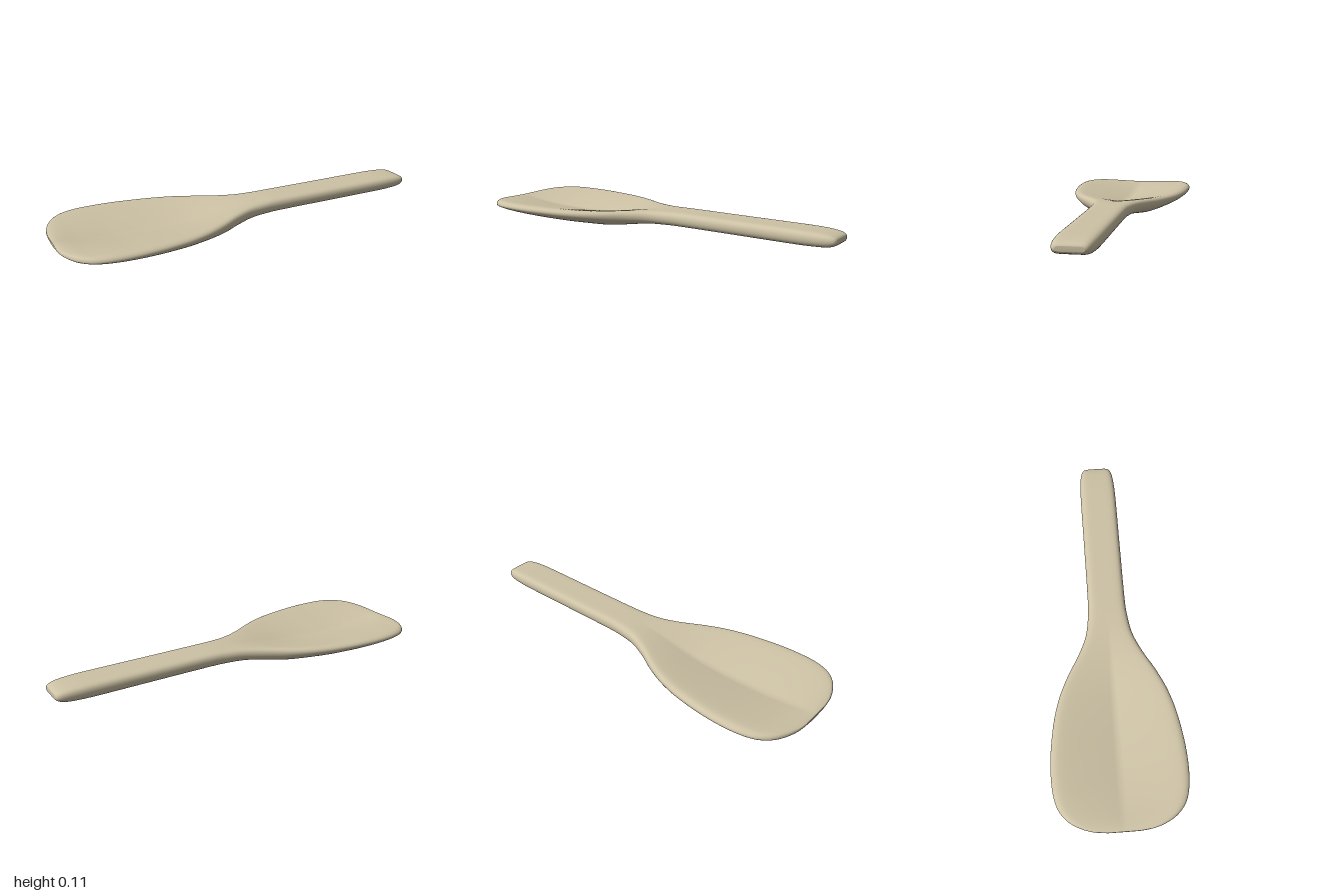
import * as THREE from 'three';

// Sections along the length: x, half width, rim top, edge height, bottom, dish depth
const SECTIONS = [
  [-1.0, 0.08, 0.073, 0.067, 0.060, 0],
  [-0.992, 0.145, 0.078, 0.067, 0.056, 0.003],
  [-0.97, 0.21, 0.085, 0.068, 0.050, 0.010],
  [-0.935, 0.266, 0.091, 0.070, 0.043, 0.020],
  [-0.88, 0.31, 0.095, 0.073, 0.035, 0.032],
  [-0.8, 0.333, 0.098, 0.075, 0.026, 0.044],
  [-0.7, 0.339, 0.098, 0.075, 0.018, 0.052],
  [-0.6, 0.334, 0.098, 0.075, 0.011, 0.055],
  [-0.5, 0.321, 0.097, 0.075, 0.006, 0.054],
  [-0.4, 0.301, 0.097, 0.075, 0.002, 0.05],
  [-0.3, 0.269, 0.098, 0.075, 0.002, 0.042],
  [-0.2, 0.222, 0.1, 0.075, 0.009, 0.028],
  [-0.1, 0.165, 0.104, 0.075, 0.024, 0.014],
  [0.0, 0.122, 0.108, 0.076, 0.037, 0.004],
  [0.1, 0.104, 0.111, 0.077, 0.041, 0],
  [0.2, 0.098, 0.113, 0.077, 0.042, 0],
  [0.5, 0.097, 0.113, 0.077, 0.042, 0],
  [0.8, 0.097, 0.113, 0.077, 0.042, 0],
  [0.9, 0.094, 0.111, 0.077, 0.044, 0],
  [0.96, 0.087, 0.106, 0.077, 0.048, 0],
  [0.99, 0.076, 0.098, 0.077, 0.057, 0],
  [1.0, 0.062, 0.089, 0.077, 0.066, 0],
];
const STEPS = 5; // rings between two sections
const HALF = 48; // points across the top, and again across the bottom

// Catmull-Rom blend of the section table
function sectionAt(u) {
  const last = SECTIONS.length - 1;
  const i = Math.min(Math.floor(u), last - 1);
  const f = u - i;
  const row = (k) => SECTIONS[Math.max(0, Math.min(last, k))];
  return row(i).map((b, k) => {
    const a = row(i - 1)[k], c = row(i + 1)[k], d = row(i + 2)[k];
    return b + 0.5 * f * (c - a + f * (2 * a - 5 * b + 4 * c - d + f * (3 * (b - c) + d - a)));
  });
}

// Height of a flat-topped, round-edged bow at t from -1 to 1
const bow = (t, n) => Math.sqrt(Math.max(0, 1 - Math.pow(Math.abs(t), n)));

// Closed ring of points: over the dished top, then back underneath
function ring([x, w, top, mid, bottom, dish]) {
  const blade = 1 - THREE.MathUtils.smoothstep(x, -0.35, 0.1);
  const nTop = THREE.MathUtils.lerp(7, 18, blade);
  const nBottom = THREE.MathUtils.lerp(7, 2.1, blade);
  return Array.from({ length: 2 * HALF }, (_, j) => {
    const t = Math.cos((j / HALF) * Math.PI);
    const hollow = Math.pow(Math.max(0, 1 - Math.abs(t) / 0.92), 1.15);
    const y = j <= HALF
      ? mid + (top - mid) * bow(t, nTop) - dish * hollow
      : mid - (mid - bottom) * bow(t, nBottom);
    return [x, y, w * t];
  });
}

// Skin the rings; the first and last shrink to a point to close the ends
function paddleGeometry() {
  const rings = [];
  const count = (SECTIONS.length - 1) * STEPS;
  for (let i = 0; i <= count; i++) rings.push(ring(sectionAt(i / STEPS)));
  const closed = ([x, , , mid]) => Array.from({ length: 2 * HALF }, () => [x, mid, 0]);
  rings.unshift(closed(SECTIONS[0]));
  rings.push(closed(SECTIONS[SECTIONS.length - 1]));

  const n = 2 * HALF;
  const index = [];
  for (let i = 0; i < rings.length - 1; i++) {
    for (let j = 0; j < n; j++) {
      const a = i * n + j, b = a + n;
      const c = i * n + ((j + 1) % n), d = c + n;
      index.push(a, b, c, b, d, c);
    }
  }
  const geometry = new THREE.BufferGeometry();
  geometry.setAttribute('position', new THREE.Float32BufferAttribute(rings.flat(2), 3));
  geometry.setIndex(index);
  geometry.computeVertexNormals();
  return geometry;
}

export function createModel() {
  const group = new THREE.Group();
  group.name = 'servingPaddle';
  const material = new THREE.MeshStandardMaterial({ color: 0xcdc2a5 });
  const paddle = new THREE.Mesh(paddleGeometry(), material);
  paddle.name = 'bladeAndHandle';
  group.add(paddle);
  return group;
}
